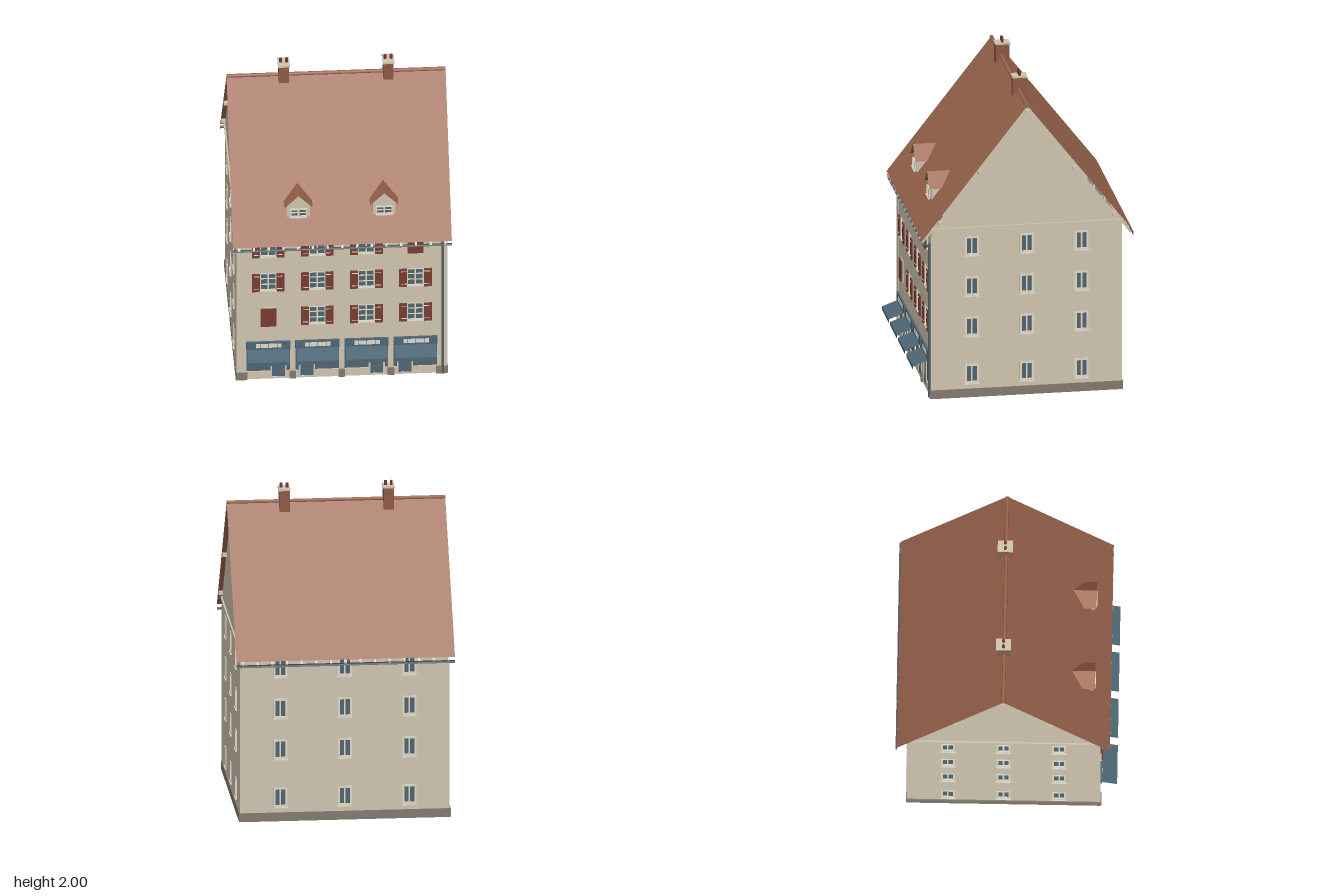
import * as THREE from 'three';

const mat = (name, color) => {
  const m = new THREE.MeshStandardMaterial({ color, side: THREE.DoubleSide });
  m.name = name;
  return m;
};

export function createModel() {
  const M = {
    wall: mat('plaster', 0xcfc4af), roof: mat('roof tile', 0x9c664e), glass: mat('glass', 0x50646f),
    shop: mat('shop blue', 0x4d6675), shutter: mat('shutter red', 0x783c31), frame: mat('window cream', 0xdfd8c6),
    plinth: mat('plinth stone', 0x837a6f), brick: mat('chimney brick', 0x8c5a45),
    metal: mat('gutter metal', 0x566068), pot: mat('chimney pot', 0x6f3a2c),
  };
  const model = new THREE.Group();
  model.name = 'townHouse';
  const MID = -0.015, HX = 0.65, HZ = 0.595, RX = 0.677;

  const add = (parent, name, geo, m, x = 0, y = 0, z = 0) => {
    const o = new THREE.Mesh(geo, m);
    o.name = name;
    o.position.set(x, y, z);
    parent.add(o);
    return o;
  };
  const box = (parent, name, m, w, h, d, x, y, z) => add(parent, name, new THREE.BoxGeometry(w, h, d), m, x, y, z);
  const group = (parent, name, x = 0, y = 0, z = 0, ry = 0) => {
    const g = new THREE.Group();
    g.name = name;
    g.position.set(x, y, z);
    g.rotation.y = ry;
    parent.add(g);
    return g;
  };
  const outline = pts => new THREE.Shape(pts.map(p => new THREE.Vector2(...p)));
  const rect = (x0, x1, y0, y1) => [[x0, y0], [x1, y0], [x1, y1], [x0, y1]];
  // Flat four-cornered sheet, corners anticlockwise from outside
  const quad = (a, b, c, d) => {
    const g = new THREE.BufferGeometry();
    g.setAttribute('position', new THREE.Float32BufferAttribute([a, b, c, a, c, d].flat(), 3));
    g.computeVertexNormals();
    return g;
  };

  // Window in an opening: pane, border and glazing bars
  function windowUnit(parent, x, y, w, h, border, cols, rows) {
    const g = group(parent, 'window', x, y, 0);
    add(g, 'pane', new THREE.PlaneGeometry(w, h), M.glass, 0, 0, -0.006);
    const ring = outline(rect(-w / 2, w / 2, -h / 2, h / 2));
    ring.holes.push(outline(rect(-w / 2 + border, w / 2 - border, -h / 2 + border, h / 2 - border)));
    add(g, 'frame', new THREE.ExtrudeGeometry(ring, { depth: 0.014, bevelEnabled: false }), M.frame, 0, 0, -0.01);
    for (let i = 1; i < cols; i++) box(g, 'mullion', M.frame, 0.01, h - border, 0.008, -w / 2 + i * w / cols, 0, -0.005);
    for (let i = 1; i < rows; i++) box(g, 'glazingBar', M.frame, w - border, 0.005, 0.008, 0, -h / 2 + i * h / rows, -0.005);
    box(g, 'sill', M.frame, w + 0.006, 0.006, 0.012, 0, -h / 2 - 0.003, 0.004);
    return g;
  }

  // Wall sheet with rectangular openings
  function wallSheet(parent, pts, holes) {
    const s = outline(pts);
    holes.forEach(h => s.holes.push(outline(rect(...h))));
    return add(parent, 'wall', new THREE.ShapeGeometry(s), M.wall);
  }
  const span = (x, y, w, h) => [x - w / 2, x + w / 2, y - h / 2, y + h / 2];

  // Rear and gable walls share the same window rows
  const rows = [0.152, 0.46, 0.722, 0.985];
  function plainWall(name, half, extra, cols, x, z, ry) {
    const g = group(model, name, x, 0, z, ry);
    const spots = cols.flatMap(c => rows.map(r => [c, r]));
    wallSheet(g, [[-half, 0], [half, 0], [half, 1.1], ...extra, [-half, 1.1]], spots.map(([c, r]) => span(c, r, 0.088, 0.126)));
    spots.forEach(([c, r]) => windowUnit(g, c, r, 0.088, 0.126, 0.013, 2, 1));
    box(g, 'plinth', M.plinth, half * 2 + 0.006, 0.055, 0.008, 0, 0.0275, 0.002);
    return g;
  }
  plainWall('backWall', HX, [], [-0.4, 0, 0.4], 0, MID - HZ, Math.PI);
  for (const s of [-1, 1]) {
    const g = plainWall(s > 0 ? 'leftGable' : 'rightGable', HZ, [[0, 1.85]], [-0.343, 0, 0.343], s * HX, MID, s * Math.PI / 2);
    box(g, 'stringCourse', M.wall, HZ * 2 + 0.01, 0.012, 0.012, 0, 1.103, 0.004);
    // Purlin ends carrying the roof overhang
    for (const [u, y] of [[0, 1.842], [0.296, 1.462], [-0.296, 1.462], [0.546, 1.147], [-0.546, 1.147]])
      box(g, 'purlinEnd', M.wall, 0.022, 0.022, 0.03, u, y, 0.012);
  }

  // Front wall with shop openings and shuttered windows
  const front = group(model, 'frontWall', 0, 0, MID + HZ);
  const cols = [-0.455, -0.152, 0.152, 0.455], frontRows = [0.475, 0.737, 0.995];
  const openings = cols.flatMap(c => [span(c, 0.1225, 0.268, 0.215), ...frontRows.map(r => span(c, r, 0.1, 0.128))]);
  wallSheet(front, rect(-HX, HX, 0, 1.11), openings);
  cols.forEach((c, i) => frontRows.forEach((r, j) => {
    windowUnit(front, c, r, 0.1, 0.128, 0.005, 2, 3);
    const closed = (i === 0 && j === 0) || (i === 3 && j === 2);
    for (const s of [-1, 1]) {
      const x = c + s * (closed ? 0.0245 : 0.077);
      box(front, 'shutter', M.shutter, 0.049, 0.134, 0.008, x, r - 0.003, closed ? 0.012 : 0.006);
      if (!closed) for (const v of [-0.047, 0.047])
        box(front, 'shutterHinge', M.frame, 0.035, 0.004, 0.003, x - s * 0.006, r + v, 0.011);
    }
  }));
  for (const s of [-1, 1]) box(front, 'cornerStrip', M.wall, 0.06, 1.05, 0.004, s * 0.622, 0.525, 0.001);
  [[-0.618, 0.07], [-0.304, 0.04], [0, 0.04], [0.304, 0.04], [0.618, 0.07]].forEach(([x, w]) =>
    box(front, 'pierBase', M.plinth, w, 0.055, 0.012, x, 0.0275, 0.004));

  // Shops, alternately mirrored
  cols.forEach((c, i) => {
    const g = group(front, 'shop', c, 0, 0);
    const s = i % 2 ? -1 : 1;
    add(g, 'shopGlass', new THREE.PlaneGeometry(0.268, 0.215), M.glass, 0, 0.1225, -0.008);
    box(g, 'stallRiser', M.wall, 0.148, 0.045, 0.008, -s * 0.06, 0.034, -0.002);
    box(g, 'stallRiserNarrow', M.wall, 0.022, 0.045, 0.008, s * 0.123, 0.034, -0.002);
    for (const x of [0.019, 0.109]) box(g, 'doorPost', M.wall, 0.01, 0.215, 0.008, s * x, 0.1225, -0.002);
    box(g, 'door', M.shop, 0.08, 0.05, 0.006, s * 0.064, 0.04, -0.004);
    box(g, 'signBoard', M.shop, 0.272, 0.057, 0.012, 0, 0.257, 0.006);
    for (const [x, w] of [[-0.062, 0.026], [-0.023, 0.046], [0.03, 0.052], [0.071, 0.022]])
      box(g, 'signPanel', M.frame, w, 0.03, 0.003, x, 0.258, 0.0125);
    const a = 0.128;
    add(g, 'awning', quad([-a, 0.196, 0.105], [a, 0.196, 0.105], [a, 0.232, 0.004], [-a, 0.232, 0.004]), M.shop);
    add(g, 'awningValance', quad([-a, 0.172, 0.105], [a, 0.172, 0.105], [a, 0.196, 0.105], [-a, 0.196, 0.105]), M.shop);
  });

  // Main roof: two thin slopes, rafters and gutters
  const roof = group(model, 'roof', 0, 0, MID);
  const RIDGE = 1.888, EAVE = 1.043, RUN = 0.657;
  for (const s of [1, -1]) {
    const side = group(roof, s > 0 ? 'frontSlope' : 'backSlope', 0, 0, 0, s > 0 ? 0 : Math.PI);
    add(side, 'tiles', quad([-RX, EAVE, RUN], [RX, EAVE, RUN], [RX, RIDGE, 0], [-RX, RIDGE, 0]), M.roof);
    for (let i = 0; i <= 14; i++) {
      const r = box(side, 'rafterTail', M.wall, 0.014, 0.012, 0.16, -0.637 + i * 0.091, 1.078, 0.605);
      r.rotation.x = Math.atan2(0.84, 0.655);
    }
    const gutter = new THREE.CylinderGeometry(0.009, 0.009, RX * 2, 10, 1, true, Math.PI / 2, Math.PI);
    const m = add(side, 'gutter', gutter, M.metal, 0, 1.016, s > 0 ? 0.655 : 0.666);
    m.rotation.set(0, 0, Math.PI / 2);
  }
  add(roof, 'ridgeCap', new THREE.CylinderGeometry(0.012, 0.012, RX * 2, 8), M.roof, 0, 1.883, 0).rotation.z = Math.PI / 2;
  add(model, 'downpipe', new THREE.CylinderGeometry(0.008, 0.008, 1.0, 10), M.metal, 0.625, 0.505, 0.59);
  add(model, 'downpipeElbow', new THREE.TubeGeometry(new THREE.LineCurve3(
    new THREE.Vector3(0.625, 0.985, 0.59), new THREE.Vector3(0.625, 1.012, 0.64)), 1, 0.008, 8), M.metal);

  // Dormers
  for (const x of [-0.265, 0.265]) {
    const d = group(model, 'dormer', x, 0, 0);
    const face = outline([[-0.07, 1.185], [0.07, 1.185], [0.07, 1.268], [0, 1.337], [-0.07, 1.268]]);
    add(d, 'dormerBody', new THREE.ExtrudeGeometry(face, { depth: 0.13, bevelEnabled: false }), M.wall, 0, 0, 0.4);
    const w = windowUnit(d, 0, 1.222, 0.1, 0.056, 0.005, 2, 2);
    w.position.z = 0.538;
    const top = [0, 1.353], e = 0.0875, y = 1.265;
    add(d, 'dormerRoofLeft', quad([e, y, 0.545], [e, y, 0.468], [...top, 0.4], [...top, 0.545]), M.roof);
    add(d, 'dormerRoofRight', quad([-e, y, 0.468], [-e, y, 0.545], [...top, 0.545], [...top, 0.4]), M.roof);
  }

  // Chimneys
  for (const x of [-0.324, 0.322]) {
    const c = group(model, 'chimney', x, 0, -0.021);
    box(c, 'stack', M.brick, 0.064, 0.18, 0.086, 0, 1.87, 0);
    box(c, 'cap', M.wall, 0.073, 0.012, 0.094, 0, 1.966, 0);
    for (const s of [-1, 1])
      add(c, 'pot', new THREE.CylinderGeometry(0.009, 0.009, 0.03, 12), M.pot, s * 0.018, 1.985, 0);
  }
  return model;
}
